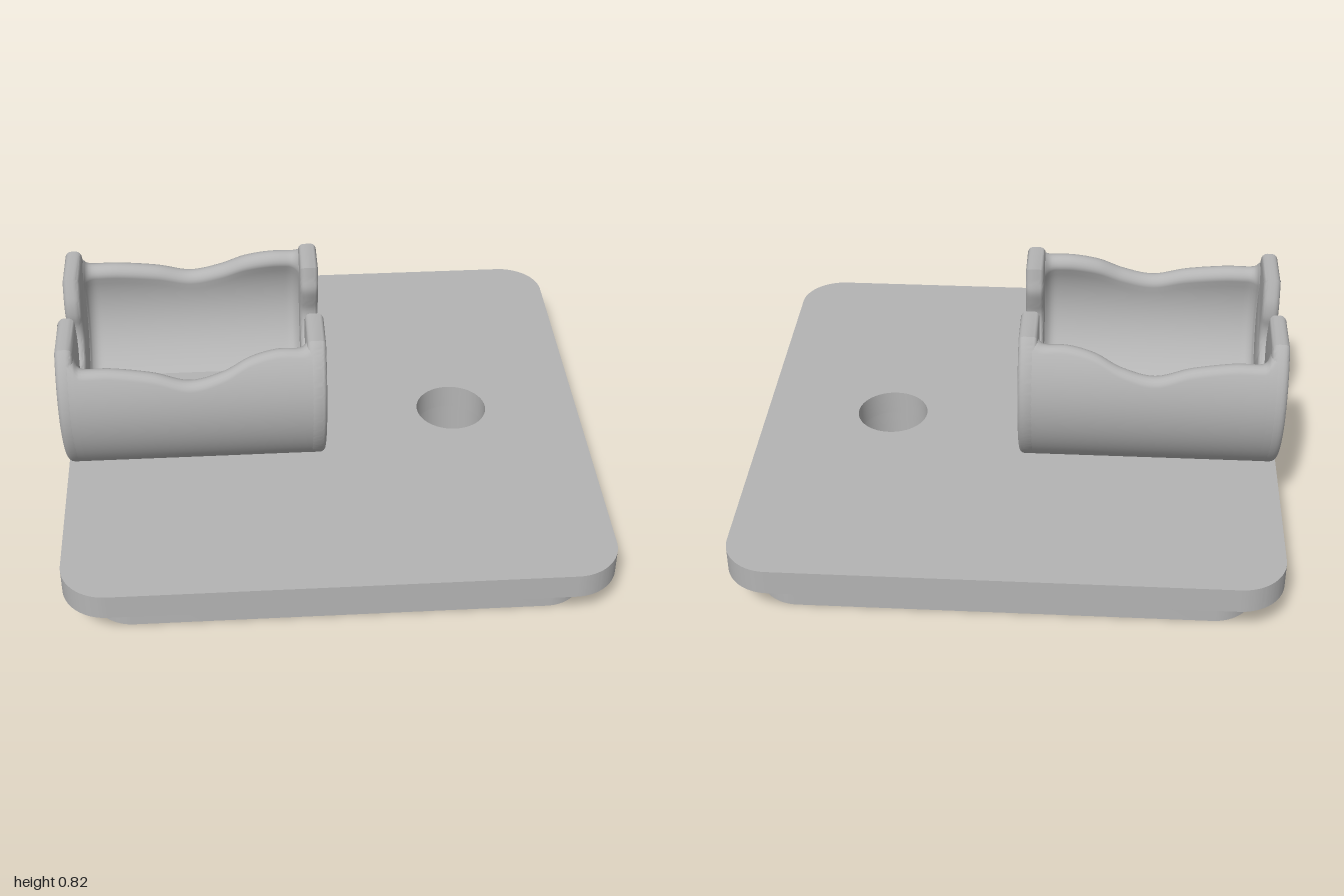
import * as THREE from 'three';
import { toCreasedNormals } from 'three/addons/utils/BufferGeometryUtils.js';

const grey = new THREE.MeshStandardMaterial({ color: 0xb4b4b4 });
grey.name = 'grey';

const R = 0.415;   // outer radius of the cradle
const RI = 0.345;  // inner radius of the trough
const CY = 0.57;   // height of the cradle axis
const FLOOR = 0.3;

function mesh(name, geometry) {
  const m = new THREE.Mesh(geometry, grey);
  m.name = name;
  return m;
}

// Rounded rectangle centred on (cx, 0)
function roundedRect(cls, cx, hw, hh, r) {
  const s = new cls(), q = Math.PI / 2;
  s.absarc(cx + hw - r, hh - r, r, 0, q);
  s.absarc(cx - hw + r, hh - r, r, q, 2 * q);
  s.absarc(cx - hw + r, -hh + r, r, 2 * q, 3 * q);
  s.absarc(cx + hw - r, -hh + r, r, 3 * q, 4 * q);
  s.closePath();
  return s;
}

function circle(cx, r) {
  return new THREE.Path().absarc(cx, 0, r, 0, Math.PI * 2);
}

// Horizontal slab between two heights
function slab(name, shape, y0, y1) {
  const g = new THREE.ExtrudeGeometry(shape, { depth: y1 - y0, bevelEnabled: false, curveSegments: 24 });
  g.rotateX(-Math.PI / 2).translate(0, y0, 0);
  return mesh(name, toCreasedNormals(g, 0.6));
}

// Upright end wall with a slot; slot lists [half width, height] from the top down
function endWall(name, x0, x1, slot, bevel) {
  const low = -Math.PI / 3, high = Math.asin((0.82 - CY) / R);
  const s = new THREE.Shape();
  s.absarc(0, CY, R, low, high);
  const right = slot.map(([z, y]) => new THREE.Vector2(z, y));
  const left = slot.map(([z, y]) => new THREE.Vector2(-z, y)).reverse();
  const curve = new THREE.SplineCurve([...right, ...left]);
  curve.getPoints(64).forEach((p) => s.lineTo(p.x, p.y));
  s.absarc(0, CY, R, Math.PI - high, Math.PI - low);
  s.closePath();
  const g = new THREE.ExtrudeGeometry(s, {
    depth: x1 - x0 - 2 * bevel, curveSegments: 40,
    bevelSize: bevel, bevelOffset: -bevel, bevelThickness: bevel, bevelSegments: 4,
  });
  g.rotateY(Math.PI / 2).translate(x0 + bevel, 0, 0);
  return mesh(name, toCreasedNormals(g, 0.6));
}

// Curved side wall with a wavy rounded rim, lofted along x; side is +1 or -1
function sideWall(name, side) {
  const rim = new THREE.SplineCurve([
    [-0.96, 0.795], [-0.935, 0.765], [-0.91, 0.74], [-0.8, 0.738], [-0.65, 0.718], [-0.52, 0.685],
    [-0.4, 0.712], [-0.3, 0.76], [-0.2, 0.783], [-0.11, 0.783], [-0.085, 0.795], [-0.06, 0.8],
  ].map(([x, y]) => new THREE.Vector2(x, y))).getSpacedPoints(80);
  const arc = 16, cap = 10, pos = [], idx = [];
  for (const { x, y: top } of rim) {
    // fillet where the inside meets the end walls
    const f = 0.045, d = THREE.MathUtils.clamp(Math.min(x + 0.935, -0.09 - x), 0, f);
    const ri = RI - f + Math.sqrt(f * f - (f - d) ** 2);
    const m = (R + ri) / 2, h = (R - ri) / 2;
    const rimAngle = Math.asin((top - 0.9 * h - CY) / m);
    const outerLow = -Math.PI / 3;
    const innerLow = Math.asin(Math.max(-1, (FLOOR - 0.015 - CY) / ri));
    const add = (r, a) => pos.push(x, CY + r * Math.sin(a), side * r * Math.cos(a));
    for (let j = 0; j < arc; j++) add(R, THREE.MathUtils.lerp(outerLow, rimAngle, j / arc));
    for (let j = 0; j <= cap; j++) {
      const t = Math.PI * j / cap;
      add(m + h * Math.cos(t), rimAngle + h / m * Math.sin(t));
    }
    for (let j = 1; j <= arc; j++) add(ri, THREE.MathUtils.lerp(rimAngle, innerLow, j / arc));
  }
  const n = 2 * arc + cap + 1;
  for (let i = 0; i < rim.length - 1; i++) {
    for (let j = 0; j < n - 1; j++) {
      const a = i * n + j, b = a + n, c = a + 1, e = b + 1;
      if (side > 0) idx.push(a, b, c, b, e, c);
      else idx.push(a, c, b, b, c, e);
    }
  }
  const g = new THREE.BufferGeometry();
  g.setAttribute('position', new THREE.Float32BufferAttribute(pos, 3));
  g.setIndex(idx);
  g.computeVertexNormals();
  return mesh(name, g);
}

// Countersunk screw seat set into the floor
function screwSeat(x) {
  const pts = [[0.1, FLOOR], [0.09, 0.285], [0.075, 0.272], [0.052, 0.268], [0.052, 0.24], [0, 0.24]];
  const g = new THREE.LatheGeometry(pts.map(([r, y]) => new THREE.Vector2(r, y)), 40);
  g.translate(x, 0, 0);
  return mesh('screwSeat', toCreasedNormals(g, 0.6));
}

export function createModel() {
  const model = new THREE.Group();
  model.name = 'cradleOnPlate';

  // Stepped base with a through hole
  const base = new THREE.Group();
  base.name = 'base';
  for (const [name, half, r, y0, y1] of [['lowerPlate', 0.9, 0.15, 0, 0.137], ['upperPlate', 1, 0.17, 0.137, 0.235]]) {
    const shape = roundedRect(THREE.Shape, 0, half, half, r);
    shape.holes.push(circle(0.5, 0.137));
    base.add(slab(name, shape, y0, y1));
  }

  // Cradle: end walls, side walls and a floor with recesses
  const cradle = new THREE.Group();
  cradle.name = 'cradle';
  cradle.add(endWall('roundSlotWall', -1, -0.935, [
    [0.13, 0.82], [0.113, 0.77], [0.1, 0.72], [0.1, 0.665], [0.115, 0.61], [0.113, 0.555], [0.085, 0.5], [0.045, 0.472],
  ], 0.024));
  cradle.add(endWall('wideSlotWall', -0.09, -0.02, [
    [0.155, 0.82], [0.15, 0.77], [0.145, 0.72], [0.165, 0.66], [0.185, 0.6], [0.178, 0.54], [0.15, 0.48], [0.115, 0.445], [0.07, 0.438],
  ], 0.02));
  cradle.add(sideWall('leftSideWall', 1), sideWall('rightSideWall', -1));

  const floor = roundedRect(THREE.Shape, -0.51, 0.45, 0.235, 0.01);
  floor.holes.push(roundedRect(THREE.Path, -0.805, 0.062, 0.17, 0.04));
  const seats = [-0.6, -0.3];
  seats.forEach((x) => floor.holes.push(circle(x, 0.1)));
  cradle.add(slab('floor', floor, 0.22, FLOOR));
  seats.forEach((x) => cradle.add(screwSeat(x)));

  model.add(base, cradle);
  return model;
}
